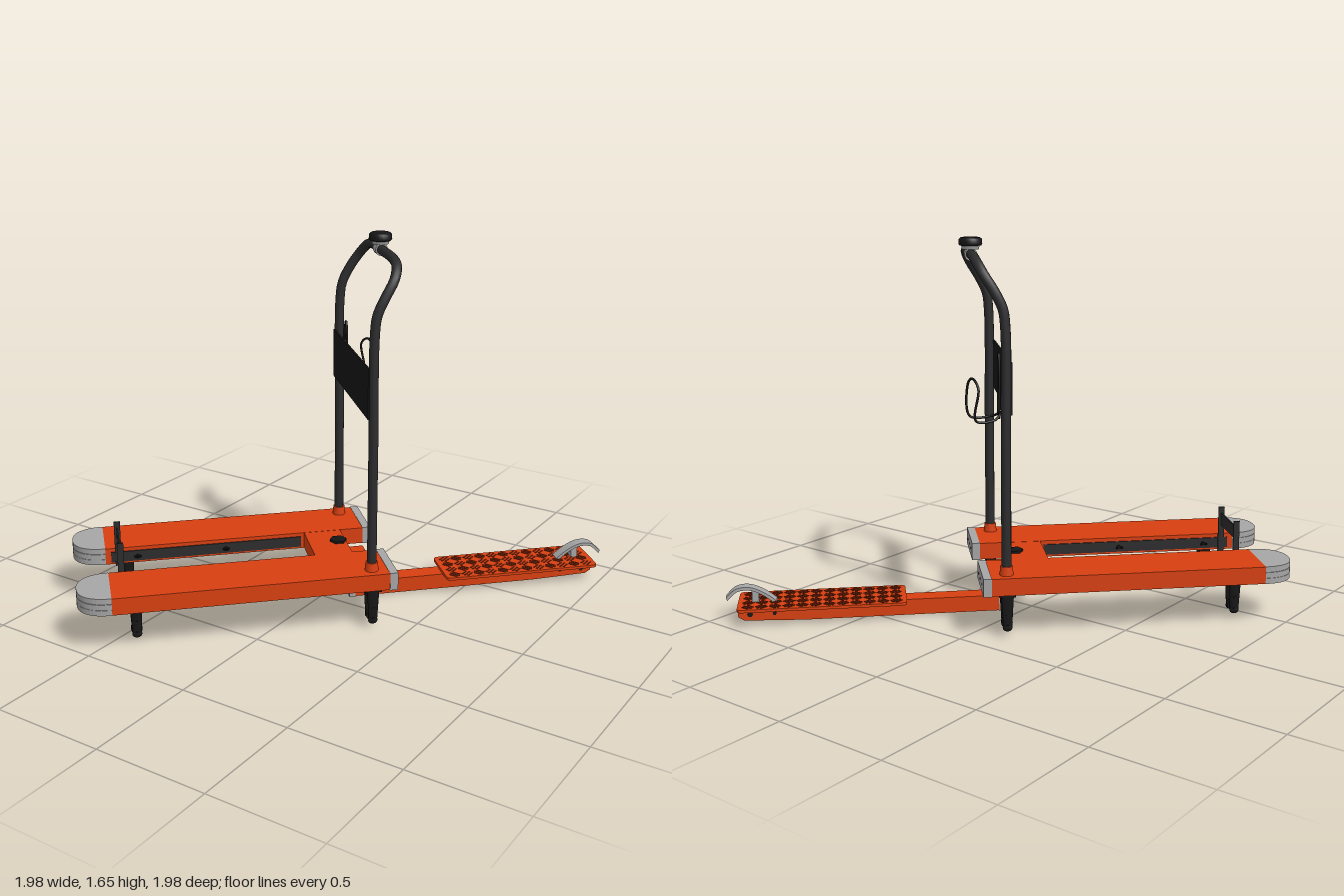
import * as THREE from 'three';
import { mergeGeometries } from 'three/addons/utils/BufferGeometryUtils.js';

const mat = (color) => new THREE.MeshStandardMaterial({ color, side: THREE.DoubleSide });
const V = (x, y, z) => new THREE.Vector3(x, y, z);

// Local frame: x across the forks, y up, +z towards the fork tips.
export function createModel() {
  const orange = mat(0xd84010), grey = mat(0xa6a6a6), dark = mat(0x2c2c2e), black = mat(0x161616);
  const tread = mat(0x7a2208);
  const model = new THREE.Group();
  model.name = 'platformTrolley';
  const truck = new THREE.Group();
  truck.name = 'truck';
  truck.rotation.y = -Math.PI / 4;
  model.add(truck);

  const add = (name, geo, m, x = 0, y = 0, z = 0) => {
    const mesh = new THREE.Mesh(geo, m);
    mesh.name = name;
    mesh.position.set(x, y, z);
    truck.add(mesh);
    return mesh;
  };
  // Box given by its limits on each axis
  const box = (name, m, x0, x1, y0, y1, z0, z1) =>
    add(name, new THREE.BoxGeometry(x1 - x0, y1 - y0, z1 - z0), m, (x0 + x1) / 2, (y0 + y1) / 2, (z0 + z1) / 2);
  // Outline in plan (x, z), extruded down from its top
  const slab = (name, m, shape, top, h, x = 0, z = 0) => {
    const g = new THREE.ExtrudeGeometry(shape, { depth: h, bevelEnabled: false, curveSegments: 12 });
    g.rotateX(Math.PI / 2);
    return add(name, g, m, x, top, z);
  };
  const tube = (name, m, pts, r, closed = false, n = 64) =>
    add(name, new THREE.TubeGeometry(new THREE.CatmullRomCurve3(pts, closed, 'centripetal'), n, r, 12, closed), m);
  const roundRect = (w, l, r) => {
    const s = new THREE.Shape(), a = w / 2, b = l / 2;
    s.moveTo(-a + r, -b).lineTo(a - r, -b).quadraticCurveTo(a, -b, a, -b + r).lineTo(a, b - r)
      .quadraticCurveTo(a, b, a - r, b).lineTo(-a + r, b).quadraticCurveTo(-a, b, -a, b - r)
      .lineTo(-a, -b + r).quadraticCurveTo(-a, -b, -a + r, -b);
    return s;
  };

  // Rounded outline of a fork bumper
  const bumper = (w, d) => {
    const pts = [];
    for (let i = 0; i <= 24; i++) {
      const a = (Math.PI * i) / 24, c = Math.cos(a), s = Math.sin(a);
      pts.push(new THREE.Vector2(Math.sign(c) * Math.abs(c) ** 0.87 * w, s ** 0.87 * d));
    }
    return new THREE.Shape(pts);
  };

  const caster = (x, z) => {
    box('casterPlate', black, x - 0.042, x + 0.042, 0.178, 0.19, z - 0.035, z + 0.035);
    add('casterSwivel', new THREE.CylinderGeometry(0.022, 0.026, 0.03, 16), black, x, 0.165, z);
    for (const k of [-1, 1]) {
      const leg = add('casterLeg', new THREE.CylinderGeometry(1, 0.7, 0.145, 20), black, x + k * 0.03, 0.112, z);
      leg.scale.set(0.012, 1, 0.027);
      const foot = add('casterFoot', new THREE.SphereGeometry(1, 16, 10), black, x + k * 0.03, 0.042, z);
      foot.scale.set(0.0095, 0.017, 0.021);
    }
    for (const y of [0.05, 0.1]) {
      add('casterAxle', new THREE.CylinderGeometry(0.007, 0.007, 0.085, 10).rotateZ(Math.PI / 2), black, x, y, z);
    }
    add('casterWheel', new THREE.CylinderGeometry(0.024, 0.024, 0.022, 20).rotateZ(Math.PI / 2), black, x, 0.055, z);
  };

  // Forks with everything that repeats on both sides
  for (const k of [-1, 1]) {
    const cx = k * 0.2525;
    box('fork', orange, cx - 0.1275, cx + 0.1275, 0.19, 0.265, -0.222, 0.955);
    box('rearCap', grey, cx - 0.129, cx + 0.129, 0.188, 0.267, -0.255, -0.22);
    for (const i of [-1, 0, 1]) {
      add('capScrew', new THREE.CylinderGeometry(0.005, 0.005, 0.004, 8).rotateX(Math.PI / 2), dark, cx + i * 0.07, 0.228, -0.256);
      slab('tipBumper', grey, bumper(0.1275, 0.14), 0.2405 + i * 0.0255 - (i < 1 ? 0.001 : 0), 0.0245, cx, 0.955);
    }
    slab('bumperCore', dark, bumper(0.124, 0.136), 0.262, 0.07, cx, 0.955);
    caster(k * 0.325, -0.152);
    caster(k * 0.245, 0.852);
    add('postSocket', new THREE.CylinderGeometry(0.026, 0.03, 0.04, 24), orange, k * 0.322, 0.283, -0.152);

    // Side rail, its wing bolts and the upright of the load stop
    box('sideRail', dark, k * 0.1225 - 0.003, k * 0.1225 + 0.003, 0.2, 0.248, 0.07, 0.93);
    for (const z of [0.417, 0.813]) {
      add('railBolt', new THREE.CylinderGeometry(0.007, 0.007, 0.02, 10).rotateZ(Math.PI / 2), black, k * 0.112, 0.225, z);
      for (const t of [-1, 1]) {
        add('boltWing', new THREE.BoxGeometry(0.018, 0.008, 0.005).rotateY(t * 0.7), black, k * 0.103, 0.225, z + t * 0.008);
      }
    }
    box('stopUpright', dark, k * 0.118 - 0.004, k * 0.118 + 0.004, 0.185, 0.395, 0.885, 0.912);
  }
  box('stopBar', dark, -0.118, 0.118, 0.31, 0.367, 0.896, 0.902);

  // Crossbeam joining the forks
  box('crossbeam', orange, -0.126, 0.126, 0.191, 0.264, -0.113, 0.055);

  // Bent handle tube, leaning back at the top
  const half = [[0.322, 0.27, -0.152], [0.322, 0.8, -0.152], [0.322, 1.3, -0.152], [0.32, 1.38, -0.162],
    [0.315, 1.45, -0.195], [0.297, 1.515, -0.235], [0.25, 1.56, -0.258], [0.18, 1.576, -0.264]];
  const right = half.map(([x, y, z]) => V(x, y, z));
  const left = half.map(([x, y, z]) => V(-x, y, z)).reverse();
  tube('handle', dark, [...right, V(0, 1.578, -0.265), ...left], 0.021, false, 140);
  box('handlePanel', black, -0.33, 0.33, 0.945, 1.162, -0.133, -0.125);

  // Knob on the handle
  add('knobClamp', new THREE.CylinderGeometry(0.027, 0.027, 0.05, 20).rotateZ(Math.PI / 2), grey, -0.05, 1.578, -0.265);
  add('knobBase', new THREE.CylinderGeometry(0.04, 0.035, 0.018, 24), grey, -0.05, 1.608, -0.265);
  add('knob', new THREE.LatheGeometry([[0, -0.015], [0.046, -0.015], [0.05, -0.008], [0.048, 0.012], [0.04, 0.018], [0, 0.02]]
    .map(([x, y]) => new THREE.Vector2(x, y)), 24), black, -0.05, 1.63, -0.265);

  // Wire bottle holder behind one post
  tube('holderLoop', black, [V(-0.28, 0.937, -0.2), V(-0.28, 0.937, -0.295), V(-0.3, 1.07, -0.305), V(-0.35, 1.105, -0.29),
    V(-0.395, 1.07, -0.27), V(-0.385, 0.937, -0.28), V(-0.37, 0.937, -0.2), V(-0.33, 0.96, -0.175)], 0.005, true);
  tube('holderBack', black, [V(-0.31, 0.94, -0.18), V(-0.305, 1.18, -0.18), V(-0.32, 1.2, -0.18), V(-0.335, 1.18, -0.18),
    V(-0.335, 0.94, -0.18)], 0.005, true);

  // Brake arm, hanging bracket and pivot below the crossbeam
  box('brakeArm', orange, -0.042, 0.042, 0.005, 0.075, -1.0, -0.15);
  const tail = new THREE.Shape([[-1, 0.005], [-1.26, 0.014], [-1.285, 0.03], [-1.285, 0.075], [-1, 0.075]]
    .map(([a, b]) => new THREE.Vector2(a, b)));
  const tailGeo = new THREE.ExtrudeGeometry(tail, { depth: 0.084, bevelEnabled: false });
  add('brakeArmEnd', tailGeo.rotateY(-Math.PI / 2), orange, 0.042, 0, 0);
  box('armCap', grey, -0.042, 0.042, 0.002, 0.065, -0.152, -0.122);
  for (const k of [-1, 1]) {
    box('armBracket', orange, k * 0.032 - 0.006, k * 0.032 + 0.006, 0.06, 0.2, -0.19, -0.13);
    for (const [z, r] of [[-1.13, 0.008], [-1.235, 0.012]]) {
      add('armBolt', new THREE.CylinderGeometry(r, r, 0.006, 12).rotateZ(Math.PI / 2), black, k * 0.044, 0.042, z);
    }
  }
  box('bracketHead', orange, -0.04, 0.04, 0.19, 0.215, -0.2, -0.1);
  add('bracketPin', new THREE.CylinderGeometry(0.012, 0.012, 0.11, 16).rotateZ(Math.PI / 2), grey, 0, 0.165, -0.16);
  add('pivotBuffer', new THREE.CylinderGeometry(0.055, 0.055, 0.065, 24), black, 0, 0.147, -0.075);
  add('pivotStem', new THREE.CylinderGeometry(0.015, 0.015, 0.06, 16), black, 0, 0.18, -0.075);
  add('pivotNut', new THREE.CylinderGeometry(0.038, 0.038, 0.012, 6), black, -0.007, 0.268, -0.078);

  // Foot plate with raised tread
  slab('footPlate', orange, roundRect(0.236, 0.725, 0.025), 0.088, 0.013, 0, -0.9225);
  const bars = [];
  for (let row = 0; row < 12; row++) {
    for (let col = 0; col < 4; col++) {
      const turn = (row + col) % 2 ? Math.PI / 4 : -Math.PI / 4;
      for (let i = -1; i <= 1; i++) {
        const bar = new THREE.BoxGeometry(0.007, 0.003, i ? 0.036 : 0.048);
        bar.translate(i * 0.015, 0, 0).rotateY(turn);
        bars.push(bar.translate(-0.084 + col * 0.056, 0.089, -1.24 + row * 0.0577));
      }
    }
  }
  add('treadBars', mergeGeometries(bars), tread);

  // Curved pedal lever: a thin arched band
  const top = [[-1.12, 0.092], [-1.17, 0.13], [-1.23, 0.157], [-1.29, 0.153], [-1.335, 0.115]];
  const band = new THREE.SplineCurve(top.map(([a, b]) => new THREE.Vector2(a, b))).getPoints(20);
  const under = band.map((p) => new THREE.Vector2(-1.22 + (p.x + 1.22) * 0.95, p.y - 0.014)).reverse();
  const lever = new THREE.ExtrudeGeometry(new THREE.Shape([...band, ...under]), { depth: 0.05, bevelEnabled: false });
  add('pedalLever', lever.rotateY(-Math.PI / 2), grey, 0.022, 0, 0);
  box('leverMount', grey, -0.02, 0.014, 0.08, 0.142, -1.225, -1.195);

  return model;
}
